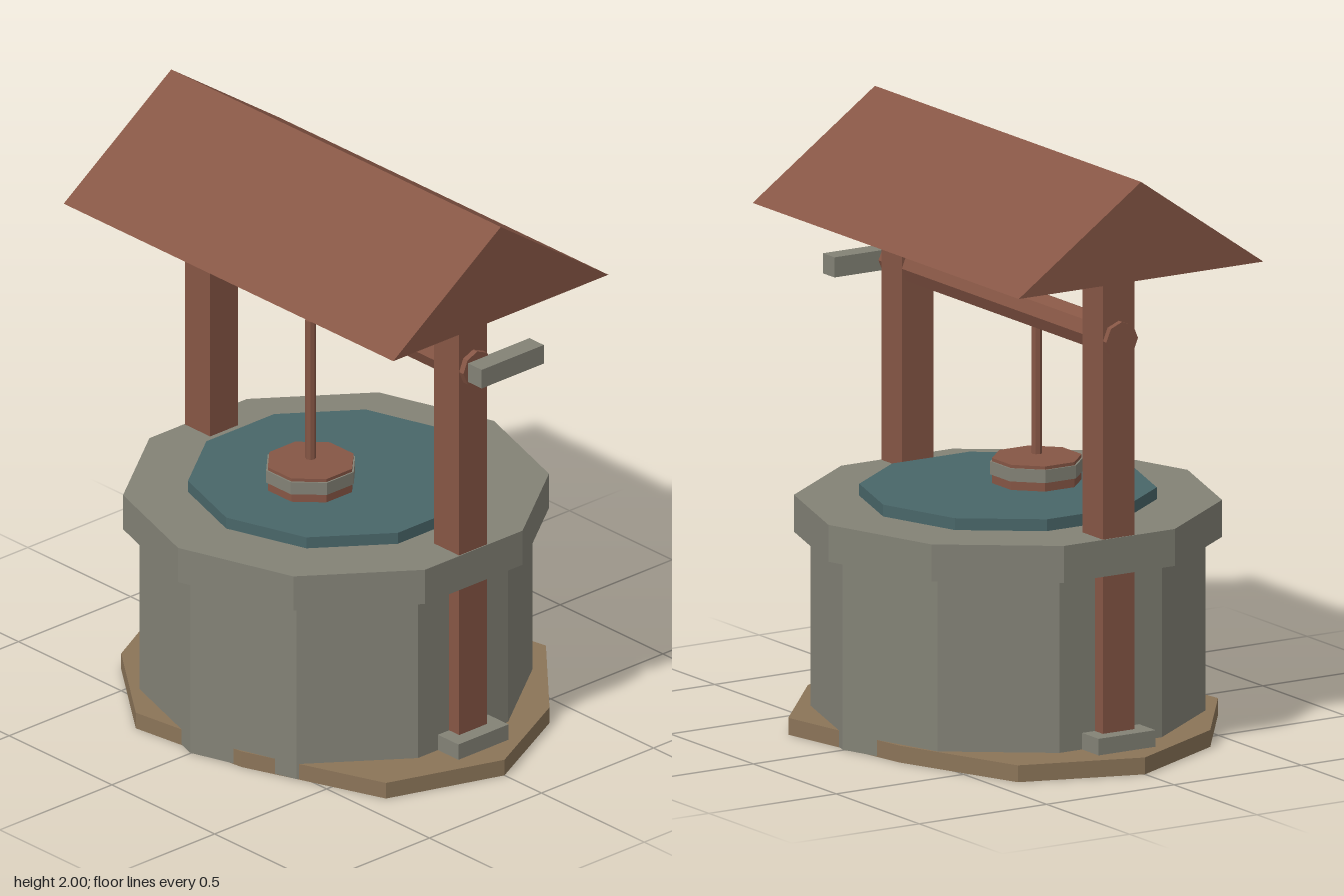
import * as THREE from 'three';

const material = (name, color) => {
  const m = new THREE.MeshStandardMaterial({ color, flatShading: true });
  m.name = name;
  return m;
};

export function createModel() {
  const wood = material('reddish wood', 0x865645);
  const stone = material('grey stone', 0x838276);
  const earth = material('brown earth', 0x8b7458);
  const water = material('teal water', 0x496669);

  const well = new THREE.Group();
  well.name = 'well';

  const add = (name, geometry, mat, x = 0, y = 0, z = 0) => {
    const mesh = new THREE.Mesh(geometry, mat);
    mesh.name = name;
    mesh.position.set(x, y, z);
    well.add(mesh);
    return mesh;
  };
  // Upright prism between two heights
  const drum = (name, mat, radius, y0, y1, sides, z = 0, turn = 0, top = radius) => {
    const g = new THREE.CylinderGeometry(top, radius, y1 - y0, sides);
    g.rotateY(turn);
    return add(name, g, mat, 0, (y0 + y1) / 2, z);
  };
  // Box given by its limits on each axis
  const block = (name, mat, [x0, x1], [y0, y1], [z0, z1]) =>
    add(name, new THREE.BoxGeometry(x1 - x0, y1 - y0, z1 - z0), mat,
      (x0 + x1) / 2, (y0 + y1) / 2, (z0 + z1) / 2);
  // Closed outline pushed along one direction
  const extrude = (points, depth) => new THREE.ExtrudeGeometry(
    new THREE.Shape(points.map(([x, y]) => new THREE.Vector2(x, y))),
    { depth, bevelEnabled: false });

  // Uneven patch of ground, outlined as x, z
  const outline = [
    [0.82, 0], [0.685, 0.405], [0.19, 0.595], [-0.26, 0.655], [-0.62, 0.39],
    [-0.825, 0], [-0.69, -0.41], [-0.25, -0.585], [0.28, -0.68], [0.63, -0.375],
  ];
  const ground = extrude(outline.map(([x, z]) => [x, -z]), 0.057);
  ground.rotateX(-Math.PI / 2);
  add('ground', ground, earth);

  // Stone ring and water
  drum('wall', stone, 0.65, 0.002, 0.646, 10);
  drum('rim', stone, 0.705, 0.645, 0.77, 10);
  drum('water', water, 0.49, 0.76, 0.81, 10);

  // Posts and their stone feet
  for (const s of [-1, 1]) {
    const side = s > 0 ? 'left' : 'right';
    const span = (a, b) => (s > 0 ? [a, b] : [-b, -a]);
    block(side + 'Post', wood, span(0.545, 0.667), [0.003, 1.72], [-0.062, 0.062]);
    block(side + 'Foot', stone, span(0.5, 0.718), [0.04, 0.113], [-0.112, 0.112]);
  }

  // Gabled roof
  const roof = extrude([[-0.48, 1.667], [0.48, 1.667], [0, 2]], 1.604);
  roof.translate(0, 0, -0.802);
  roof.rotateY(Math.PI / 2);
  add('roof', roof, wood);

  // Winding axle and crank
  const axle = new THREE.CylinderGeometry(0.062, 0.062, 1.376, 8);
  axle.rotateZ(Math.PI / 2);
  add('axle', axle, wood, 0, 1.441, 0);
  block('crank', stone, [0.685, 0.755], [1.406, 1.474], [-0.235, 0.042]);

  // Rope and floating bucket
  const z = 0.113, turn = Math.PI / 8;
  drum('rope', wood, 0.018, 0.905, 1.41, 8, z);
  drum('bucket', wood, 0.15, 0.79, 0.895, 8, z, turn);
  drum('bucketBand', stone, 0.156, 0.84, 0.884, 8, z, turn);

  return well;
}
